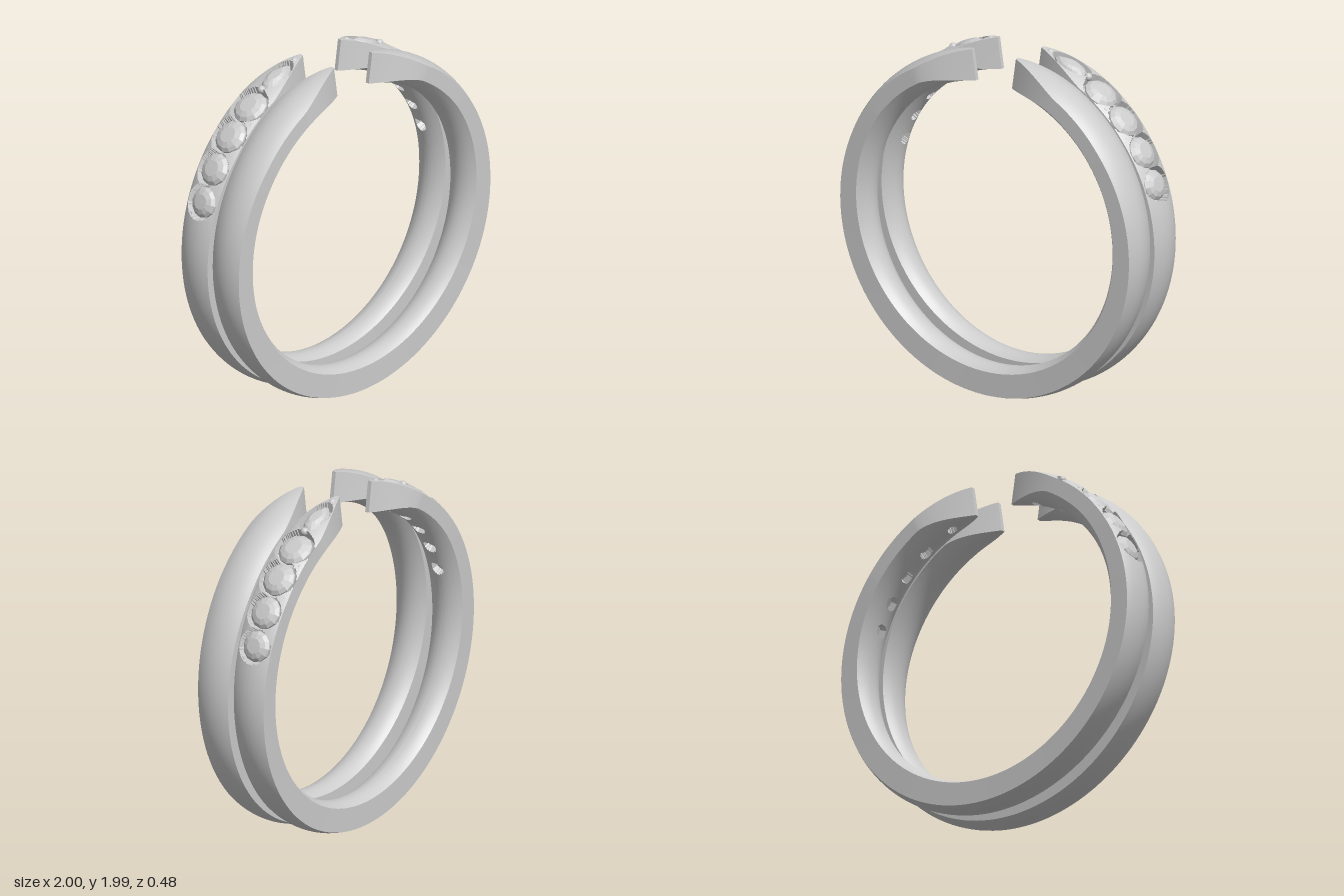
import * as THREE from 'three';
import { toCreasedNormals } from 'three/addons/utils/BufferGeometryUtils.js';

const DEG = Math.PI / 180;
const START = 8.5;          // half angle of the opening at the top
const RING_Z = 0.123;       // distance of each band from the middle

const metal = new THREE.MeshStandardMaterial({ color: 0xcccccc });
const facet = new THREE.MeshStandardMaterial({ color: 0xcccccc, flatShading: true });

// Stones of one shoulder: angle from the top, half length, half width
const stones = [
  { a: 20.5, len: 0.11, wid: 0.06, pear: true },
  { a: 34.5, len: 0.1, wid: 0.1 },
  { a: 46.5, len: 0.097, wid: 0.097 },
  { a: 58.5, len: 0.092, wid: 0.092 },
  { a: 70, len: 0.087, wid: 0.087 },
];

// Half width of the band at an angle (degrees) from the top
function halfWidth(a) {
  const body = 0.08 + 0.037 * Math.min(1, (1 + Math.cos(a * DEG)) / 1.6);
  const s = Math.max(0, (30 - a) / (30 - START));
  return body - 0.105 * Math.pow(s, 1.5);
}

// Radius of the outside, with a conical seat under each stone
function outerRadius(a, z, seats) {
  let r = 1 - 0.033 * (z / 0.117) ** 2;
  for (const s of seats) {
    const d = Math.hypot((a - s.a) * DEG * 0.96 / (s.len * 1.1), z / (s.wid * 1.17));
    if (d < 1) r = Math.min(r, 0.94 - 0.07 * (1 - d));
  }
  return r;
}

// Radius of the rounded inside, with a round hole behind each stone
function innerRadius(a, z, seats) {
  let r = 0.82 + 0.06 * (z / 0.117) ** 2;
  for (const s of seats) {
    const d = Math.hypot((a - s.a) * DEG * 0.83, z);
    if (d < (s.pear ? 0.026 : 0.036)) r = 0.864;
  }
  return r;
}

// Open band lofted from cross-sections around the finger hole
function bandGeometry(seats, n, fineStep) {
  const angles = [];
  for (let t = START; t < 180;) {
    angles.push(t);
    t += t < 80 ? fineStep : 2.5;
  }
  const all = [...angles, 180, ...angles.slice().reverse().map(t => 360 - t)];
  const pos = [], index = [], m = 2 * (n + 1);
  for (const t of all) {
    const a = Math.min(t, 360 - t), w = halfWidth(a);
    const put = (r, z) => pos.push(r * Math.sin(t * DEG), 1 + r * Math.cos(t * DEG), z);
    for (let i = 0; i <= n; i++) {
      const z = w * (2 * i / n - 1);
      put(outerRadius(a, z, seats), z);
    }
    for (let i = 0; i <= n; i++) {
      const z = w * (1 - 2 * i / n);
      put(innerRadius(a, z, seats), z);
    }
  }
  const rows = all.length;
  for (let j = 0; j < rows - 1; j++) {
    for (let i = 0; i < m; i++) {
      const k = (i + 1) % m;
      const p = j * m + i, q = j * m + k, r = p + m, s = q + m;
      index.push(p, q, r, q, s, r);
    }
  }
  // End faces
  const last = (rows - 1) * m;
  for (let i = 0; i < n; i++) {
    const o = i, o2 = i + 1, b = m - 1 - i, b2 = m - 2 - i;
    index.push(o, b, o2, o2, b, b2);
    index.push(last + o, last + o2, last + b, last + o2, last + b2, last + b);
  }
  const g = new THREE.BufferGeometry();
  g.setAttribute('position', new THREE.Float32BufferAttribute(pos, 3));
  g.setIndex(index);
  return toCreasedNormals(g, 0.5);
}

// Faceted stone, table up; the pear shape is pinched to a point at -x
function stoneGeometry({ len, wid, pear }) {
  const profile = [[0, -0.085], [1, -0.006], [1, 0.006], [0.82, 0.024], [0.5, 0.036], [0, 0.037]]
    .map(([r, y]) => new THREE.Vector2(r, y));
  const g = new THREE.LatheGeometry(profile, pear ? 16 : 12);
  const p = g.attributes.position;
  for (let i = 0; i < p.count; i++) {
    const x = p.getX(i), z = p.getZ(i), rad = Math.hypot(x, z) || 1;
    const c = x / rad;
    const pinch = pear && c < 0 ? Math.sqrt(Math.max(0, 1 - c * c)) : 1;
    p.setXYZ(i, x * len, p.getY(i), z * wid * pinch);
  }
  g.computeVertexNormals();
  return g;
}

// Places a mesh on the band at an angle, its y axis pointing outward
function place(mesh, name, a, r, z = 0) {
  mesh.name = name;
  mesh.position.set(r * Math.sin(a * DEG), 1 + r * Math.cos(a * DEG), z);
  mesh.rotation.z = -a * DEG;
  return mesh;
}

// Stones, beads and prongs of one shoulder
function shoulder() {
  const g = new THREE.Group();
  for (const s of stones) {
    g.add(place(new THREE.Mesh(stoneGeometry(s), facet), s.pear ? 'pearStone' : 'roundStone', s.a, s.pear ? 0.963 : 0.955));
  }
  const bead = new THREE.SphereGeometry(0.023, 16, 10);
  for (const a of [11.7, 27.6]) g.add(place(new THREE.Mesh(bead, metal), 'bead', a, 0.985));
  const prong = new THREE.CylinderGeometry(0.016, 0.021, 0.07, 12);
  for (const [a, z] of [[28, 0.075], [40.5, 0.08], [52.5, 0.078], [64.3, 0.075], [75.2, 0.065]]) {
    for (const side of [-1, 1]) {
      g.add(place(new THREE.Mesh(prong, metal), 'prong', a, 0.945, side * z));
    }
  }
  return g;
}

export function createModel() {
  const model = new THREE.Group();
  model.name = 'openRingPair';

  const plain = new THREE.Mesh(bandGeometry([], 12, 1.5), metal);
  plain.name = 'plainBand';
  plain.position.z = RING_Z;
  model.add(plain);

  const jewelled = new THREE.Group();
  jewelled.name = 'jewelledRing';
  jewelled.position.z = -RING_Z;
  const band = new THREE.Mesh(bandGeometry(stones, 36, 0.45), metal);
  band.name = 'jewelledBand';
  jewelled.add(band);
  const left = shoulder(), right = shoulder();
  left.name = 'leftStones';
  right.name = 'rightStones';
  right.rotation.y = Math.PI;
  jewelled.add(left, right);
  model.add(jewelled);

  return model;
}
